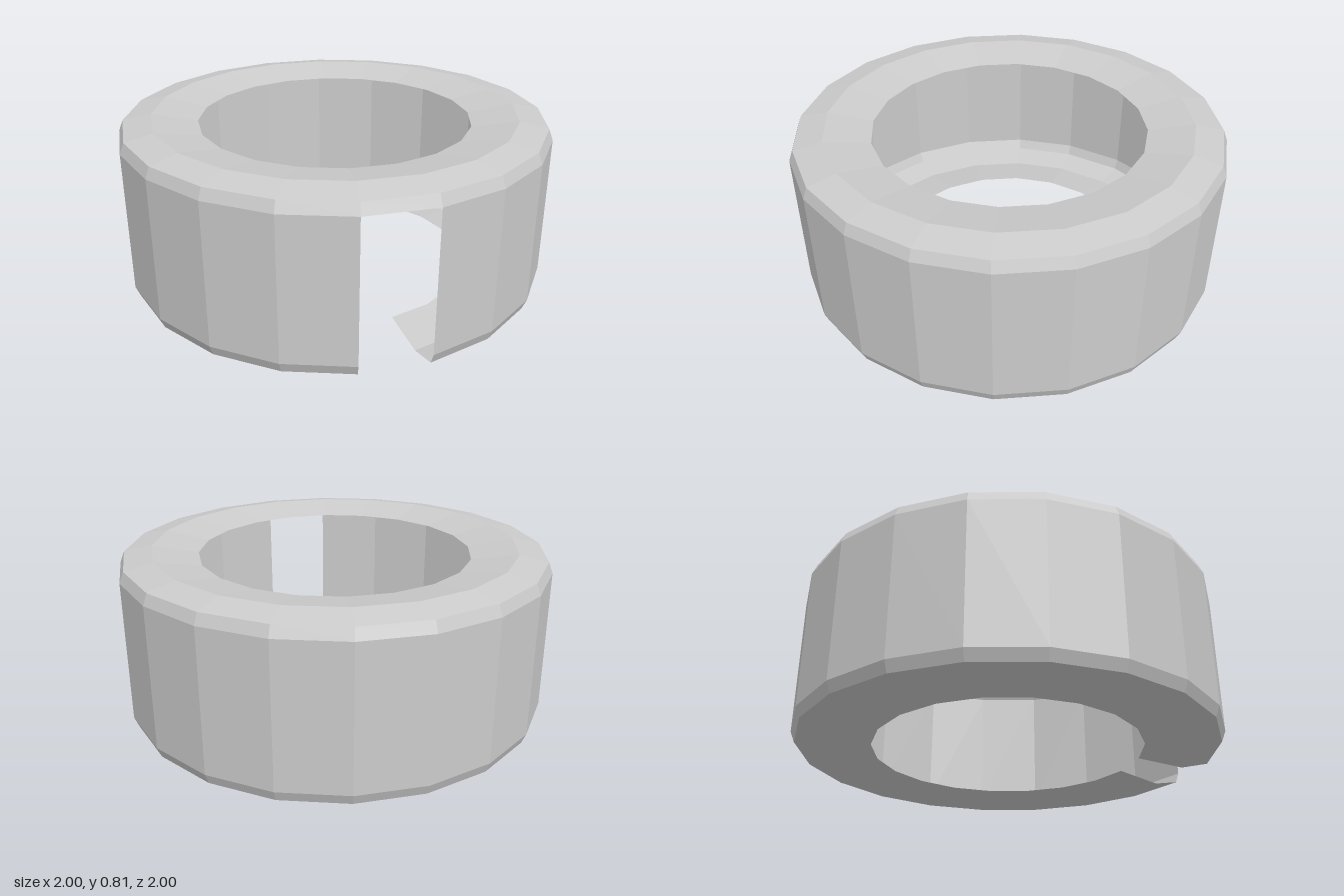
import * as THREE from 'three';

const SIDES = 20;
const STEP = (Math.PI * 2) / SIDES;

// Channel section (radius, height), from lower lip round the wall to upper lip
const lowerHalf = [[0.637, 0.04], [0.85, 0.004], [0.98, 0.03], [1, 0.08]];
const upperHalf = [[1, 0.735], [0.98, 0.785], [0.85, 0.81], [0.637, 0.772]];

export function createModel() {
  const group = new THREE.Group();
  group.name = 'slottedRing';
  const material = new THREE.MeshStandardMaterial({
    color: 0xcccccc, flatShading: true, side: THREE.DoubleSide,
  });

  // Sweeps a section around the y axis over a number of facets
  function sweep(name, profile, firstSide, sides) {
    const points = profile.map(([r, y]) => new THREE.Vector2(r, y));
    const geometry = new THREE.LatheGeometry(points, sides, firstSide * STEP, sides * STEP);
    const mesh = new THREE.Mesh(geometry, material);
    mesh.name = name;
    group.add(mesh);
  }

  // Thin shell, open towards the axis, covering all facets but one
  sweep('ringShell', [...lowerHalf, ...upperHalf], 0, SIDES - 1);
  // Upper lip bridging the slot
  sweep('slotBridge', upperHalf, SIDES - 1, 1);

  return group;
}
